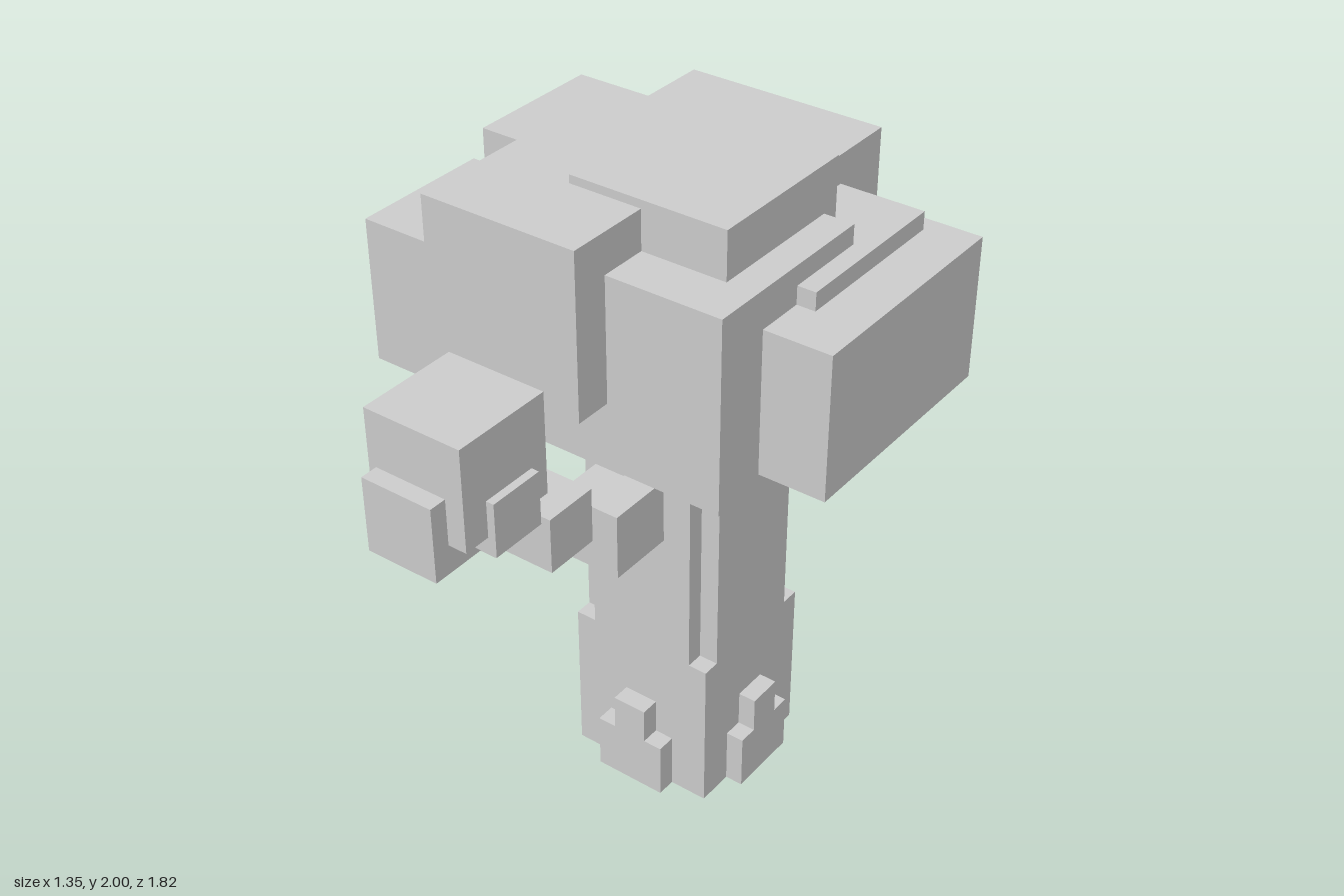
import * as THREE from 'three';

const grey = new THREE.MeshStandardMaterial({ color: 0xcccccc, flatShading: true });

// Box given by its low and high limits on each axis
function block(parent, name, [x0, x1], [y0, y1], [z0, z1]) {
  const mesh = new THREE.Mesh(new THREE.BoxGeometry(x1 - x0, y1 - y0, z1 - z0), grey);
  mesh.position.set((x0 + x1) / 2, (y0 + y1) / 2, (z0 + z1) / 2);
  mesh.name = name;
  parent.add(mesh);
}

function part(parent, name, blocks) {
  const group = new THREE.Group();
  group.name = name;
  blocks.forEach(([x, y, z]) => block(group, name + 'Block', x, y, z));
  parent.add(group);
}

export function createModel() {
  const tree = new THREE.Group();
  tree.name = 'tree';

  // Trunk: square below, notched corners above
  part(tree, 'trunk', [
    [[-0.18, 0.29], [0, 0.5], [-0.26, 0.205]],
    [[-0.18, 0.29], [0.5, 1.4], [-0.2, 0.15]],
    [[-0.115, 0.23], [0.5, 1.4], [-0.26, 0.205]],
  ]);

  // Stepped root on each side of the trunk
  const roots = new THREE.Group();
  roots.name = 'roots';
  roots.position.set(0.055, 0, -0.027);
  for (let i = 0; i < 4; i++) {
    const root = new THREE.Group();
    root.name = 'root';
    block(root, 'rootBase', [-0.115, 0.115], [0, 0.18], [0.2, 0.291]);
    block(root, 'rootTop', [-0.055, 0.055], [0.18, 0.295], [0.2, 0.291]);
    root.rotation.y = i * Math.PI / 2;
    roots.add(root);
  }
  tree.add(roots);

  // Branches climbing outward to the front and back
  part(tree, 'frontBranch', [
    [[-0.06, 0.14], [0.915, 1.12], [0.2, 0.415]],
    [[-0.115, 0.055], [1.005, 1.18], [0.415, 0.59]],
  ]);
  part(tree, 'backBranch', [
    [[-0.13, 0.075], [0.77, 0.975], [-0.47, -0.25]],
    [[-0.06, 0.11], [0.86, 1.005], [-0.645, -0.47]],
  ]);

  // Small leaf clumps at the branch ends
  part(tree, 'frontLeaves', [
    [[-0.32, 0], [1.21, 1.53], [0.53, 0.855]],
    [[-0.295, -0.06], [1.12, 1.355], [0.675, 0.91]],
    [[-0.355, -0.12], [1.12, 1.355], [0.59, 0.82]],
    [[-0.145, 0.025], [1.155, 1.325], [0.59, 0.77]],
    [[-0.15, -0.035], [1.09, 1.21], [0.59, 0.71]],
  ]);
  part(tree, 'backLeaves', [
    [[-0.03, 0.23], [0.915, 1.18], [-0.91, -0.645]],
    [[-0.15, 0.08], [0.89, 1.12], [-0.885, -0.65]],
    [[-0.12, 0.09], [0.97, 1.179], [-0.8, -0.59]],
    [[-0.1, 0.12], [0.8, 1.02], [-0.825, -0.61]],
  ]);

  // Crown of overlapping leaf blocks
  part(tree, 'crown', [
    [[-0.115, 0.375], [1.5, 2], [-0.235, 0.262]],
    [[-0.38, 0.113], [1.475, 1.975], [0.03, 0.528]],
    [[-0.12, 0.468], [1.27, 1.855], [-0.177, 0.412]],
    [[0.295, 0.673], [1.3, 1.74], [-0.502, 0.235]],
    [[0, 0.525], [1.272, 1.795], [-0.443, 0.085]],
    [[-0.38, 0.26], [1.24, 1.885], [-0.645, -0.005]],
    [[-0.588, -0.15], [1.47, 1.91], [-0.38, 0.053]],
    [[-0.677, -0.24], [1.33, 1.77], [0, 0.44]],
    [[-0.47, 0.112], [1.21, 1.795], [-0.235, 0.35]],
  ]);

  return tree;
}
